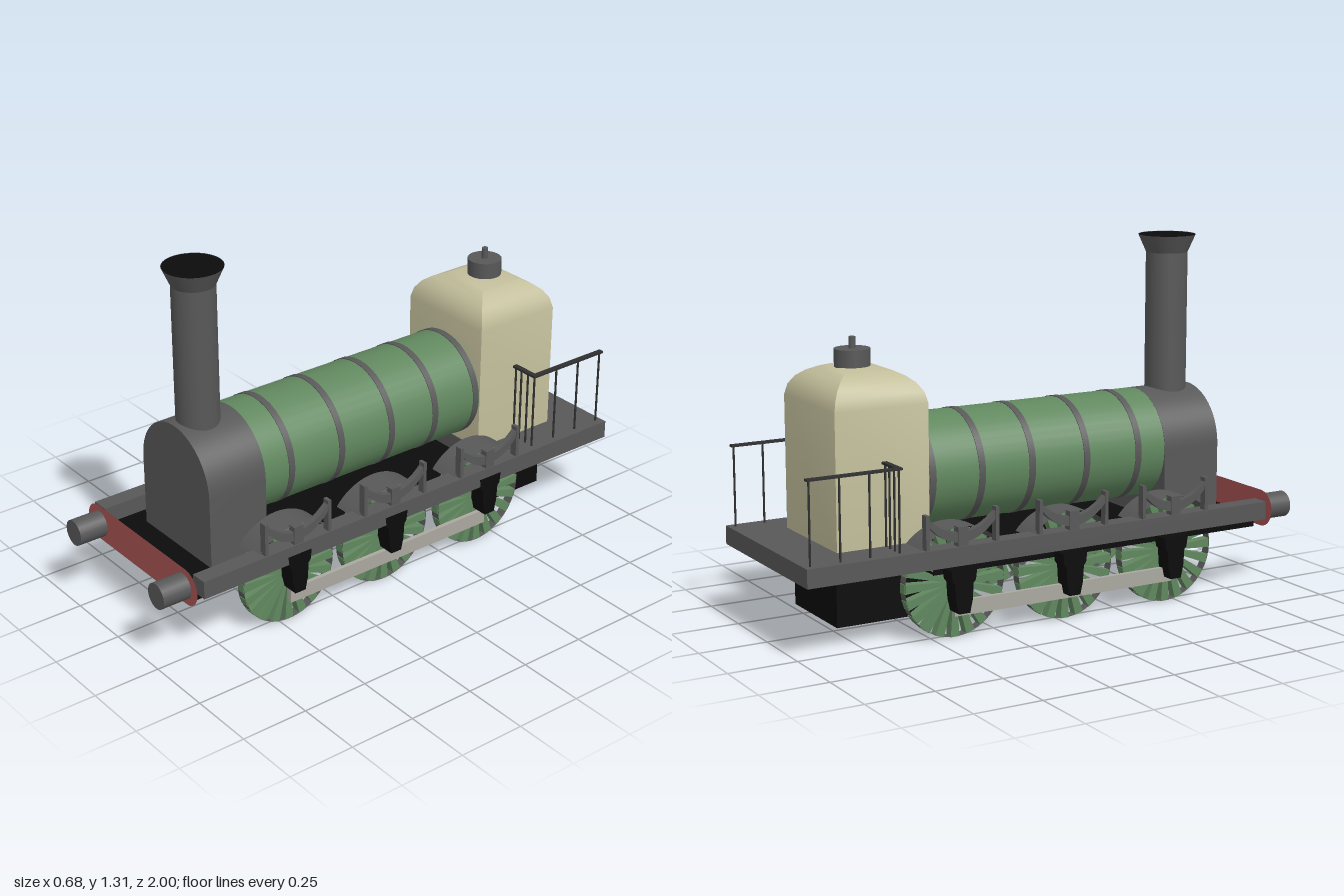
import * as THREE from 'three';
import { toCreasedNormals } from 'three/addons/utils/BufferGeometryUtils.js';

const mat = (name, color, side = THREE.FrontSide) => {
  const m = new THREE.MeshStandardMaterial({ color, side });
  m.name = name;
  return m;
};

export function createModel() {
  const iron = mat('iron grey', 0x585858, THREE.DoubleSide);
  const green = mat('boiler green', 0x61885f);
  const cream = mat('firebox cream', 0xc2be9b);
  const red = mat('beam red', 0xa85353, THREE.DoubleSide);
  const black = mat('soot black', 0x0b0b0b);
  const steel = mat('rod steel', 0xaaa8a0);
  const railDark = mat('rail dark', 0x303030);

  const model = new THREE.Group();
  model.name = 'steamLocomotive';
  const add = (name, geo, material, x = 0, y = 0, z = 0, parent = model) => {
    const mesh = new THREE.Mesh(geo, material);
    mesh.name = name;
    mesh.position.set(x, y, z);
    parent.add(mesh);
    return mesh;
  };
  // box given by its min and max on each axis
  const box = (name, material, x0, x1, y0, y1, z0, z1) =>
    add(name, new THREE.BoxGeometry(Math.abs(x1 - x0), y1 - y0, z1 - z0), material,
      (x0 + x1) / 2, (y0 + y1) / 2, (z0 + z1) / 2);
  const cylX = (r, len, seg = 24) => new THREE.CylinderGeometry(r, r, len, seg).rotateZ(Math.PI / 2);
  const cylZ = (r, len, seg = 40) => new THREE.CylinderGeometry(r, r, len, seg).rotateX(Math.PI / 2);
  // outline in (z, y), given thickness across x and centred on x = 0
  const sidePlate = (shape, width) =>
    toCreasedNormals(new THREE.ExtrudeGeometry(shape, { depth: width, bevelEnabled: false, curveSegments: 10 })
      .translate(0, 0, -width / 2).rotateY(-Math.PI / 2), 0.6);
  const polygon = (pts) => new THREE.Shape(pts.map(([a, b]) => new THREE.Vector2(a, b)));

  // frame, floor and rear platform
  box('floor', black, -0.275, 0.275, 0.23, 0.275, -0.5, 0.855);
  box('ashpan', black, -0.17, 0.17, 0.065, 0.27, -0.815, -0.46);
  box('rearPlatform', iron, -0.34, 0.34, 0.27, 0.337, -1, -0.47);
  for (const s of [-1, 1]) box('frameSill', iron, s * 0.275, s * 0.34, 0.27, 0.337, -0.47, 0.86);

  // buffer beam with rounded ends, and buffers
  const beam = new THREE.Shape();
  beam.absarc(0.272, 0, 0.068, -Math.PI / 2, Math.PI / 2);
  beam.absarc(-0.272, 0, 0.068, Math.PI / 2, Math.PI * 1.5);
  add('bufferBeam', new THREE.ShapeGeometry(beam, 16), red, 0, 0.297, 0.888);
  for (const s of [-1, 1]) add('buffer', cylZ(0.048, 0.11, 24), iron, s * 0.26, 0.297, 0.945);

  // smokebox: arch extruded lengthwise
  const arch = new THREE.Shape();
  arch.moveTo(-0.202, 0.27);
  arch.lineTo(0.202, 0.27);
  arch.lineTo(0.202, 0.543);
  arch.absarc(0, 0.543, 0.202, 0, Math.PI);
  add('smokebox', toCreasedNormals(new THREE.ExtrudeGeometry(arch,
    { depth: 0.235, bevelEnabled: false, curveSegments: 20 }), 0.6), iron, 0, 0, 0.5);

  // boiler and its bands
  add('boiler', cylZ(0.2, 0.98), green, 0, 0.545, 0.015);
  for (const z of [0.386, 0.166, -0.06, -0.263, -0.457])
    add('boilerBand', cylZ(0.2025, 0.025), iron, 0, 0.545, z);

  // chimney with flared top
  const stack = [[0.077, 0.68], [0.077, 1.245], [0.106, 1.31]].map(([r, y]) => new THREE.Vector2(r, y));
  add('chimney', toCreasedNormals(new THREE.LatheGeometry(stack, 32), 0.35), iron, 0, 0, 0.635);
  add('chimneyMouth', new THREE.CircleGeometry(0.105, 32).rotateX(-Math.PI / 2), black, 0, 1.309, 0.635);

  // firebox: square plan rising to a four-sided dome
  const dome = [[0.202, 0.335], [0.202, 0.815], [0.192, 0.853], [0.17, 0.884], [0.14, 0.906],
    [0.105, 0.922], [0.075, 0.932], [0, 0.932]].map(([r, y]) => new THREE.Vector2(r * Math.SQRT2, y));
  add('firebox', toCreasedNormals(new THREE.LatheGeometry(dome, 4).rotateY(Math.PI / 4)
    .scale(1, 1, 0.176 / 0.202), 0.6), cream, 0, 0, -0.65);
  add('domeCap', new THREE.CylinderGeometry(0.063, 0.063, 0.07, 24), iron, 0, 0.957, -0.66);
  add('capKnob', new THREE.CylinderGeometry(0.012, 0.012, 0.045, 12), iron, 0, 1.01, -0.66);

  // wheel parts shared by all axles
  const rimGeo = new THREE.CylinderGeometry(0.193, 0.193, 0.038, 40, 1, true).rotateZ(Math.PI / 2);
  const spokeGeo = sidePlate(polygon([[-0.006, 0.025], [0.006, 0.025], [0.017, 0.194], [-0.017, 0.194]]), 0.034);
  const fenderGeo = new THREE.CylinderGeometry(0.207, 0.207, 0.115, 20, 1, true, 0.68, Math.PI - 1.36)
    .rotateZ(Math.PI / 2);
  const hornGeo = sidePlate(polygon([[-0.05, 0.155], [-0.045, 0.115], [-0.036, 0.105], [-0.032, 0.045],
    [-0.022, 0], [0.022, 0], [0.032, 0.045], [0.036, 0.105], [0.045, 0.115], [0.05, 0.155]]), 0.064);
  const leaf = new THREE.Shape();
  leaf.moveTo(-0.135, 0.45);
  leaf.quadraticCurveTo(-0.075, 0.385, 0, 0.385);
  leaf.quadraticCurveTo(0.075, 0.385, 0.135, 0.45);
  leaf.lineTo(0.135, 0.425);
  leaf.quadraticCurveTo(0.075, 0.35, 0, 0.35);
  leaf.quadraticCurveTo(-0.075, 0.35, -0.135, 0.425);
  const leafGeo = sidePlate(leaf, 0.024);

  for (const z of [0.46, 0.03, -0.415]) {
    add('axle', cylX(0.015, 0.5, 16), iron, 0, 0.21, z);
    for (const s of [-1, 1]) {
      const wheel = new THREE.Group();
      wheel.name = 'wheel';
      wheel.position.set(s * 0.256, 0.194, z);
      model.add(wheel);
      add('rim', rimGeo, iron, 0, 0, 0, wheel);
      add('hub', cylX(0.032, 0.04), iron, 0, 0, 0, wheel);
      for (let i = 0; i < 20; i++)
        add('spoke', spokeGeo, green, 0, 0, 0, wheel).rotation.x = (i / 20) * Math.PI * 2;

      // splasher, axle guard and leaf spring
      add('splasher', fenderGeo, iron, s * 0.2575, 0.194, z);
      add('axleGuard', hornGeo, black, s * 0.309, s > 0 ? 0.145 : 0.1, z);
      add('leafSpring', leafGeo, iron, s * 0.32, 0, z);
      box('springBuckle', iron, s * 0.305, s * 0.336, 0.335, 0.405, z - 0.02, z + 0.02);
      for (const e of [-1, 1])
        box('springHanger', iron, s * 0.306, s * 0.334, 0.335, 0.458, z + e * 0.135 - 0.007, z + e * 0.135 + 0.007);
    }
  }

  for (const s of [-1, 1]) {
    // coupling rod
    box('couplingRod', steel, s * 0.282, s * 0.298, 0.08, 0.134, -0.43, 0.47);

    // platform railing
    const post = (x, z) => add('railPost', new THREE.CylinderGeometry(0.004, 0.004, 0.295, 8), railDark, s * x, 0.482, z);
    for (const z of [-0.975, -0.865, -0.755, -0.645]) post(0.31, z);
    for (const x of [0.275, 0.24, 0.21]) post(x, -0.645);
    box('handrail', railDark, s * 0.3, s * 0.32, 0.624, 0.632, -0.985, -0.635);
    box('handrailReturn', railDark, s * 0.2, s * 0.3, 0.624, 0.632, -0.655, -0.635);
  }

  return model;
}
